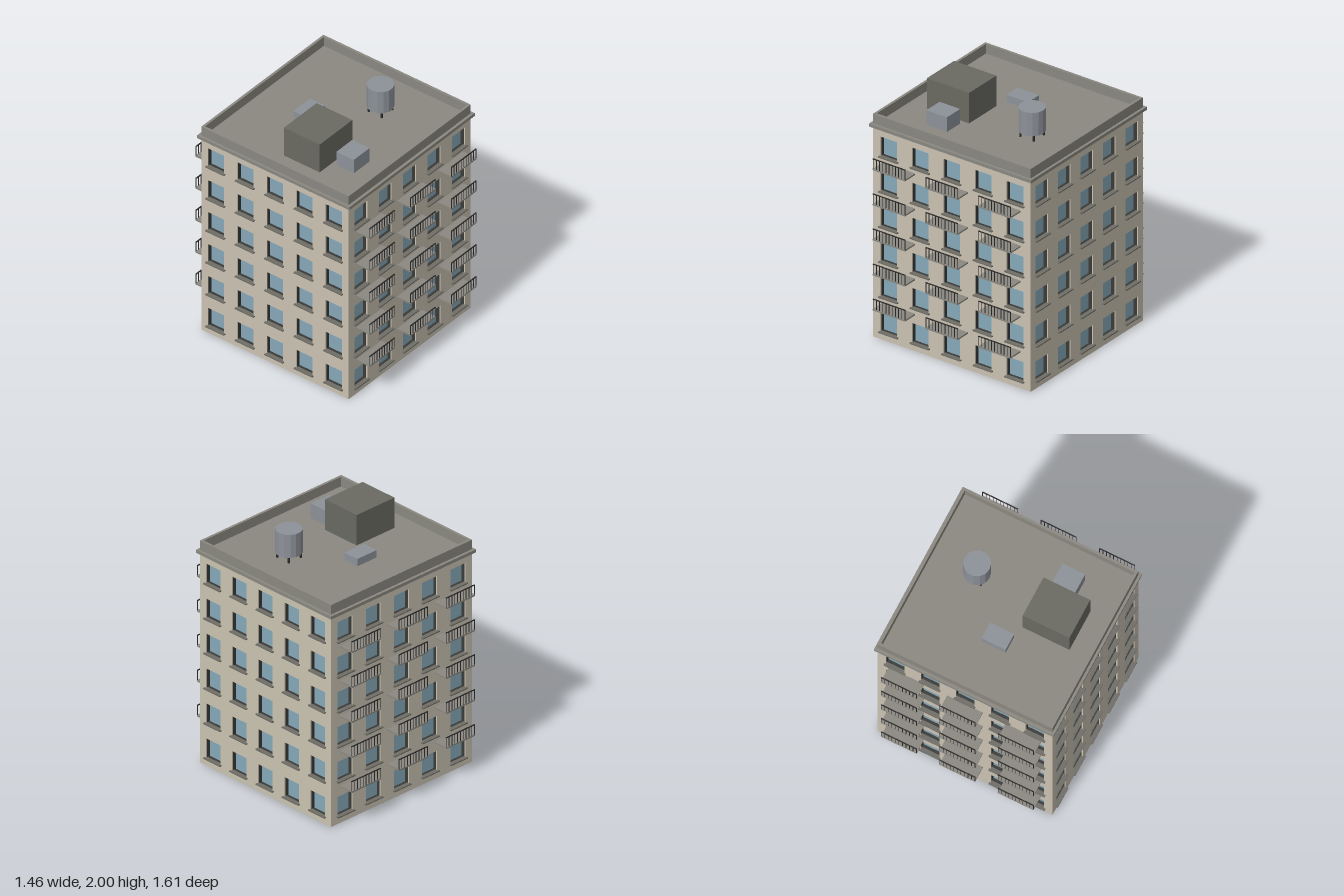
import * as THREE from 'three';

const W = 1.42, D = 1.36, FLOORS = 6, STEP = 0.2877, WALL_H = 1.728;
const WIN_W = 0.15, WIN_H = 0.16, WIN_Y = 0.063, SKIN = 0.01, RECESS = 0.04;
const ROOF_Y = 1.75;

const mat = (color, extra = {}) => new THREE.MeshStandardMaterial({ color, flatShading: true, ...extra });
const M = {
  wall: mat(0xcbc3b2), glass: mat(0x86a8b9), frame: mat(0x3a3a38), sill: mat(0x6f6d66),
  concrete: mat(0x8a8880), rail: mat(0x2c2c2c), house: mat(0x6a6a62), metal: mat(0x8d9299), core: mat(0x1c1d1f),
};

function add(parent, name, geo, material, x = 0, y = 0, z = 0) {
  const mesh = new THREE.Mesh(geo, material);
  mesh.name = name;
  mesh.position.set(x, y, z);
  parent.add(mesh);
  return mesh;
}
const box = (parent, name, m, w, h, d, x, y, z) =>
  add(parent, name, new THREE.BoxGeometry(w, h, d), m, x, y, z);

function rect(Type, w, y0, y1, x = 0) {
  const p = new Type();
  p.moveTo(x - w / 2, y0);
  p.lineTo(x + w / 2, y0);
  p.lineTo(x + w / 2, y1);
  p.lineTo(x - w / 2, y1);
  p.closePath();
  return p;
}
const extrude = (shape, depth) => new THREE.ExtrudeGeometry(shape, { depth, bevelEnabled: false });

// Dark lining of one window opening
const liningShape = rect(THREE.Shape, WIN_W + 0.01, -0.005, WIN_H + 0.005);
liningShape.holes.push(rect(THREE.Path, WIN_W, 0, WIN_H));
const liningGeo = extrude(liningShape, RECESS - SKIN);
const glassGeo = new THREE.BoxGeometry(WIN_W + 0.01, WIN_H + 0.01, 0.008);
const sillGeo = new THREE.BoxGeometry(0.172, 0.009, 0.035);

// One facade facing +z with its outer surface at z = 0
function facade(name, span, width) {
  const g = new THREE.Group();
  g.name = name;
  const shape = rect(THREE.Shape, width, 0, WALL_H);
  for (let f = 0; f < FLOORS; f++) {
    for (let c = -2; c <= 2; c++) {
      const x = c * span / 5, y = WIN_Y + f * STEP;
      shape.holes.push(rect(THREE.Path, WIN_W, y, y + WIN_H, x));
      add(g, 'windowLining', liningGeo, M.frame, x, y, -RECESS);
      add(g, 'windowPane', glassGeo, M.glass, x, y + WIN_H / 2, -RECESS - 0.004);
      add(g, 'windowSill', sillGeo, M.sill, x, y - 0.0035, 0.0005);
    }
  }
  add(g, 'wall', extrude(shape, SKIN), M.wall, 0, 0, -SKIN);
  return g;
}

// Balcony slab with a front railing, standing out from z = 0
function balcony() {
  const g = new THREE.Group();
  g.name = 'balcony';
  const w = 0.29, out = 0.125;
  box(g, 'balconySlab', M.concrete, w, 0.012, out, 0, 0.006, out / 2);
  box(g, 'handrail', M.rail, w, 0.006, 0.008, 0, 0.092, out - 0.003);
  const bars = 11;
  for (let i = 0; i < bars; i++) {
    const x = -w / 2 + 0.002 + i * (w - 0.004) / (bars - 1);
    box(g, 'railingBar', M.rail, 0.004, 0.08, 0.004, x, 0.051, out - 0.003);
  }
  return g;
}

function balconySide(parent) {
  for (let f = 1; f < FLOORS; f++) {
    for (const x of [-0.475, 0, 0.475]) {
      const b = balcony();
      b.position.set(x, f * STEP + 0.008, 0);
      parent.add(b);
    }
  }
}

export function createModel() {
  const model = new THREE.Group();
  model.name = 'apartmentBlock';

  // Four facades, balconies on the front and back
  for (const [name, turn] of [['front', 0], ['left', 1], ['back', 2], ['right', 3]]) {
    const long = turn % 2 === 0;
    const g = facade(name + 'Facade', long ? W : D, long ? W : D - 2 * SKIN);
    if (long) balconySide(g);
    const r = long ? D / 2 : W / 2, a = turn * Math.PI / 2;
    g.rotation.y = a;
    g.position.set(Math.sin(a) * r, 0, Math.cos(a) * r);
    model.add(g);
  }

  // Dark inner core behind the windows
  box(model, 'innerCore', M.core, W - 0.114, 1.7, D - 0.114, 0, 0.87, 0);

  // Roof slab with cornice edge, and the parapet
  box(model, 'roofSlab', M.concrete, W + 0.04, 0.025, D + 0.045, 0, ROOF_Y - 0.0125, 0);
  const ring = new THREE.Shape([[-1, -1], [1, -1], [1, 1], [-1, 1]].map(
    ([x, z]) => new THREE.Vector2(x * W / 2, z * D / 2)));
  ring.holes.push(rect(THREE.Path, W - 0.04, -D / 2 + 0.02, D / 2 - 0.02));
  add(model, 'parapet', extrude(ring, 0.078), M.concrete, 0, ROOF_Y, 0).rotation.x = -Math.PI / 2;

  // Stair house and ventilation units
  box(model, 'stairHouse', M.house, 0.38, 0.25, 0.33, -0.34, ROOF_Y + 0.125, 0.105);
  box(model, 'ventilationUnit', M.metal, 0.185, 0.12, 0.16, -0.293, ROOF_Y + 0.06, 0.39);
  box(model, 'ventilationUnit', M.metal, 0.195, 0.06, 0.135, -0.032, ROOF_Y + 0.03, -0.222);

  // Water tank on four legs
  const tank = new THREE.Group();
  tank.name = 'waterTank';
  tank.position.set(0.328, ROOF_Y, 0.15);
  const body = add(tank, 'tankBody', new THREE.CylinderGeometry(0.101, 0.101, 0.19, 14), M.metal, 0, 0.145, 0);
  body.rotation.y = Math.PI / 2;
  for (const x of [-0.06, 0.06])
    for (const z of [-0.06, 0.06]) box(tank, 'tankLeg', M.rail, 0.012, 0.052, 0.012, x, 0.026, z);
  model.add(tank);

  return model;
}
